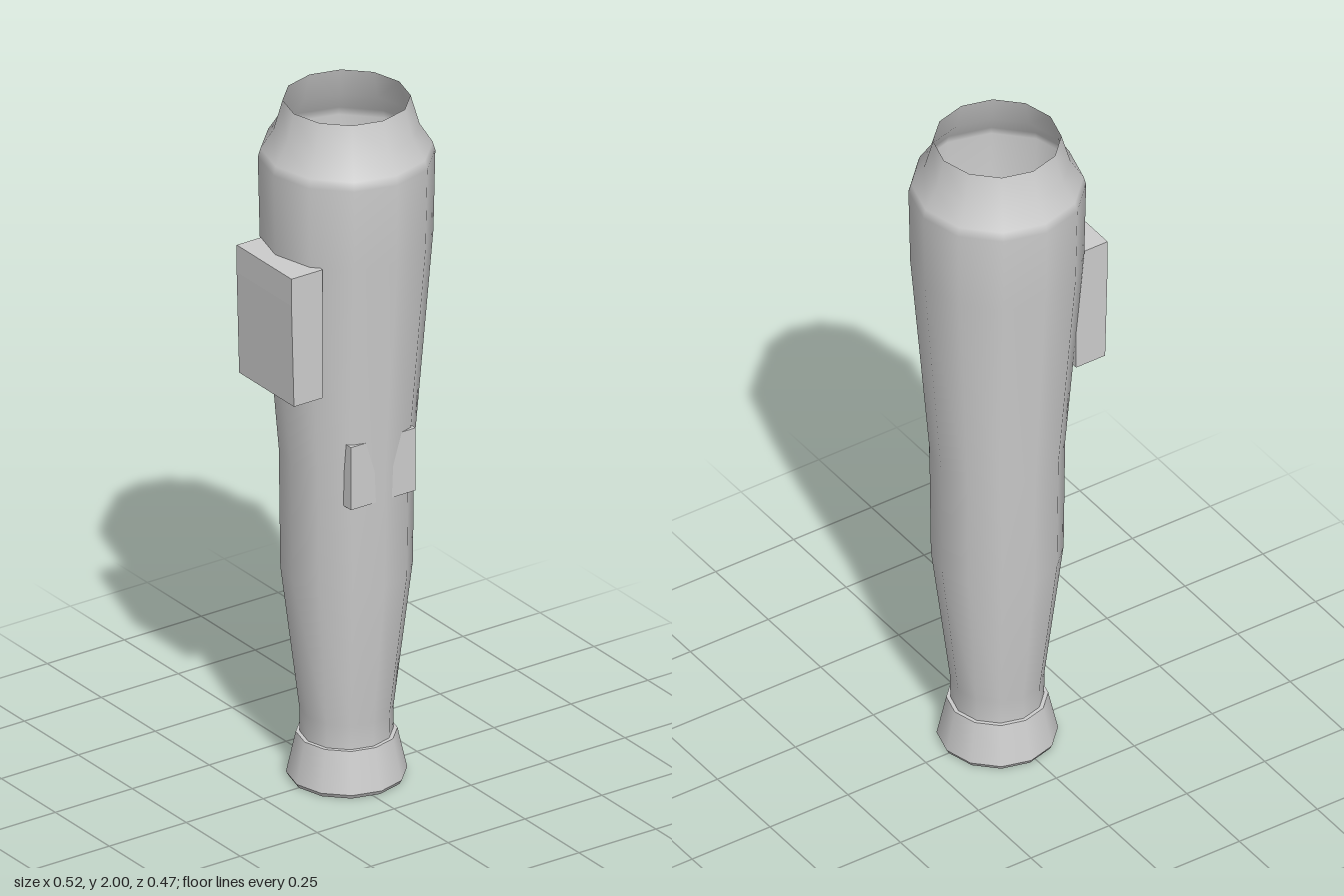
import * as THREE from 'three';

const SIDES = 12;
const AXIS_X = 0.021;

export function createModel() {
  const group = new THREE.Group();
  group.name = 'taperedTube';
  const grey = new THREE.MeshStandardMaterial({ color: 0xcccccc, side: THREE.DoubleSide });
  grey.name = 'lightGrey';

  const add = (name, geometry, x = 0, y = 0, z = 0) => {
    const mesh = new THREE.Mesh(geometry, grey);
    mesh.name = name;
    mesh.position.set(x, y, z);
    group.add(mesh);
  };
  // Open twelve-sided shell from [radius, height] pairs, bottom to top
  const shell = (name, profile) => add(name,
    new THREE.LatheGeometry(profile.map(([r, y]) => new THREE.Vector2(r, y)), SIDES), AXIS_X);

  // Flared foot, with its thin bevelled rim and top ledge
  shell('footRim', [[0.155, 0], [0.162, 0.012]]);
  shell('footFlare', [[0.162, 0.012], [0.136, 0.13]]);
  shell('footLedge', [[0.136, 0.13], [0.125, 0.13]]);

  // Main tube, swelling to the shoulder and narrowing to an open mouth
  shell('body', [
    [0.125, 0.13], [0.126, 0.2], [0.177, 0.62], [0.181, 0.97], [0.232, 1.6],
    [0.237, 1.835], [0.23, 1.86], [0.195, 1.915], [0.171, 2],
  ]);

  // Side box: the outer face leans in slightly below its top band
  const section = new THREE.Shape([
    [-0.16, 1.22], [-0.16, 1.6], [-0.261, 1.6], [-0.261, 1.52], [-0.253, 1.22],
  ].map(([x, y]) => new THREE.Vector2(x, y)));
  add('sideBox', new THREE.ExtrudeGeometry(section, { depth: 0.254, bevelEnabled: false }), 0, 0, -0.107);

  // Front block, whose corners stand out of the tube wall
  add('frontBlock', new THREE.BoxGeometry(0.21, 0.185, 0.041), AXIS_X - 0.002, 0.97, 0.1525);

  return group;
}
